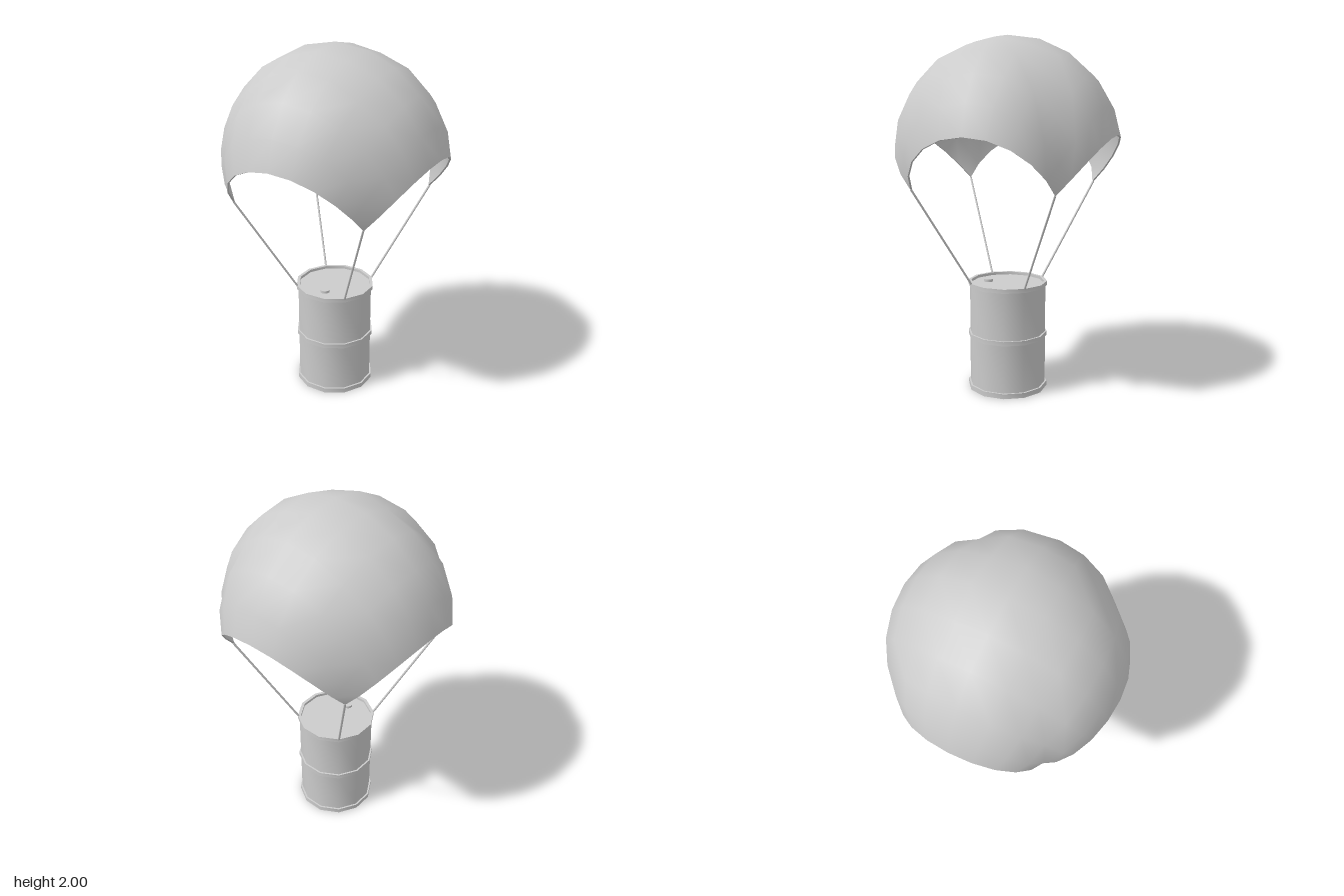
import * as THREE from 'three';
import { toCreasedNormals } from 'three/addons/utils/BufferGeometryUtils.js';

const N = 10;            // canopy grid divisions
const CENTRE_Y = 1.37;   // centre of the canopy dome
const THICKNESS = 0.01;

const grey = new THREE.MeshStandardMaterial({ color: 0xcccccc });
const greyDouble = new THREE.MeshStandardMaterial({ color: 0xcccccc, side: THREE.DoubleSide });

// Wraps a square cloth (u, v in -1..1) over a dome, corners on the x and z axes
function canopyPoint(u, v, inset) {
  const d = Math.hypot(u, v);
  const big = Math.max(Math.abs(u), Math.abs(v));
  const small = Math.min(Math.abs(u), Math.abs(v));
  const diagonal = big > 0 ? small / big : 0;
  const polar = THREE.MathUtils.degToRad(84 * d - 2.4 * (d * big) ** 4);
  const radius = 0.63 - 0.03 * diagonal ** 3 * Math.min(1, d * 1.5) - inset;
  const azimuth = Math.atan2(v, u) + Math.PI / 4;
  return [
    radius * Math.sin(polar) * Math.cos(azimuth),
    CENTRE_Y + radius * Math.cos(polar),
    radius * Math.sin(polar) * Math.sin(azimuth),
  ];
}

function gridGeometry(points, index) {
  const geometry = new THREE.BufferGeometry();
  geometry.setAttribute('position', new THREE.Float32BufferAttribute(points, 3));
  geometry.setIndex(index);
  geometry.computeVertexNormals();
  return geometry;
}

function clothGeometry(inset, inward) {
  const points = [], index = [];
  for (let i = 0; i <= N; i++) {
    for (let j = 0; j <= N; j++) points.push(...canopyPoint((2 * i) / N - 1, (2 * j) / N - 1, inset));
  }
  for (let i = 0; i < N; i++) {
    for (let j = 0; j < N; j++) {
      const a = i * (N + 1) + j, b = a + 1, d = a + N + 1, c = d + 1;
      if (inward) index.push(a, d, b, b, d, c);
      else index.push(a, b, d, b, c, d);
    }
  }
  return gridGeometry(points, index);
}

// Narrow strip joining the outer and inner cloth around the hem
function hemGeometry() {
  const points = [], index = [], count = 4 * N;
  for (let k = 0; k < count; k++) {
    const t = (2 * (k % N)) / N - 1;
    const [u, v] = [[t, -1], [1, t], [-t, 1], [-1, -t]][Math.floor(k / N)];
    points.push(...canopyPoint(u, v, 0), ...canopyPoint(u, v, THICKNESS));
    const a = 2 * k, b = 2 * ((k + 1) % count);
    index.push(a, b, a + 1, b, b + 1, a + 1);
  }
  return gridGeometry(points, index);
}

function addMesh(parent, name, geometry, material = grey) {
  const mesh = new THREE.Mesh(geometry, material);
  mesh.name = name;
  parent.add(mesh);
  return mesh;
}

export function createModel() {
  const model = new THREE.Group();
  model.name = 'parachuteBarrel';

  // Canopy
  const canopy = new THREE.Group();
  canopy.name = 'canopy';
  addMesh(canopy, 'canopyOuter', clothGeometry(0, false));
  addMesh(canopy, 'canopyInner', clothGeometry(THICKNESS, true));
  addMesh(canopy, 'canopyHem', hemGeometry(), greyDouble);
  model.add(canopy);

  // Barrel with three hoops and a recessed lid
  const profile = [
    [0, 0], [0.228, 0], [0.228, 0.028], [0.218, 0.028],
    [0.218, 0.305], [0.228, 0.305], [0.228, 0.33], [0.218, 0.33],
    [0.218, 0.603], [0.228, 0.603], [0.228, 0.626], [0.21, 0.626],
    [0.21, 0.61], [0, 0.61],
  ].map(([x, y]) => new THREE.Vector2(x, y));
  addMesh(model, 'barrel', toCreasedNormals(new THREE.LatheGeometry(profile, 12), 0.7));

  // Bung on the lid
  const bung = addMesh(model, 'bung', new THREE.CylinderGeometry(0.027, 0.027, 0.016, 12));
  bung.position.set(-0.08, 0.617, 0.085);

  // Four ropes from the canopy corners to the barrel rim
  const top = new THREE.Vector3(0.564, 1.175, 0);
  const bottom = new THREE.Vector3(0.222, 0.62, 0);
  const along = top.clone().sub(bottom);
  for (let k = 0; k < 4; k++) {
    const pivot = new THREE.Group();
    pivot.name = 'ropePivot';
    pivot.rotation.y = (k * Math.PI) / 2;
    const rope = addMesh(pivot, 'rope', new THREE.CylinderGeometry(0.006, 0.006, along.length(), 6));
    rope.position.copy(top).add(bottom).multiplyScalar(0.5);
    rope.quaternion.setFromUnitVectors(new THREE.Vector3(0, 1, 0), along.clone().normalize());
    model.add(pivot);
  }
  return model;
}
